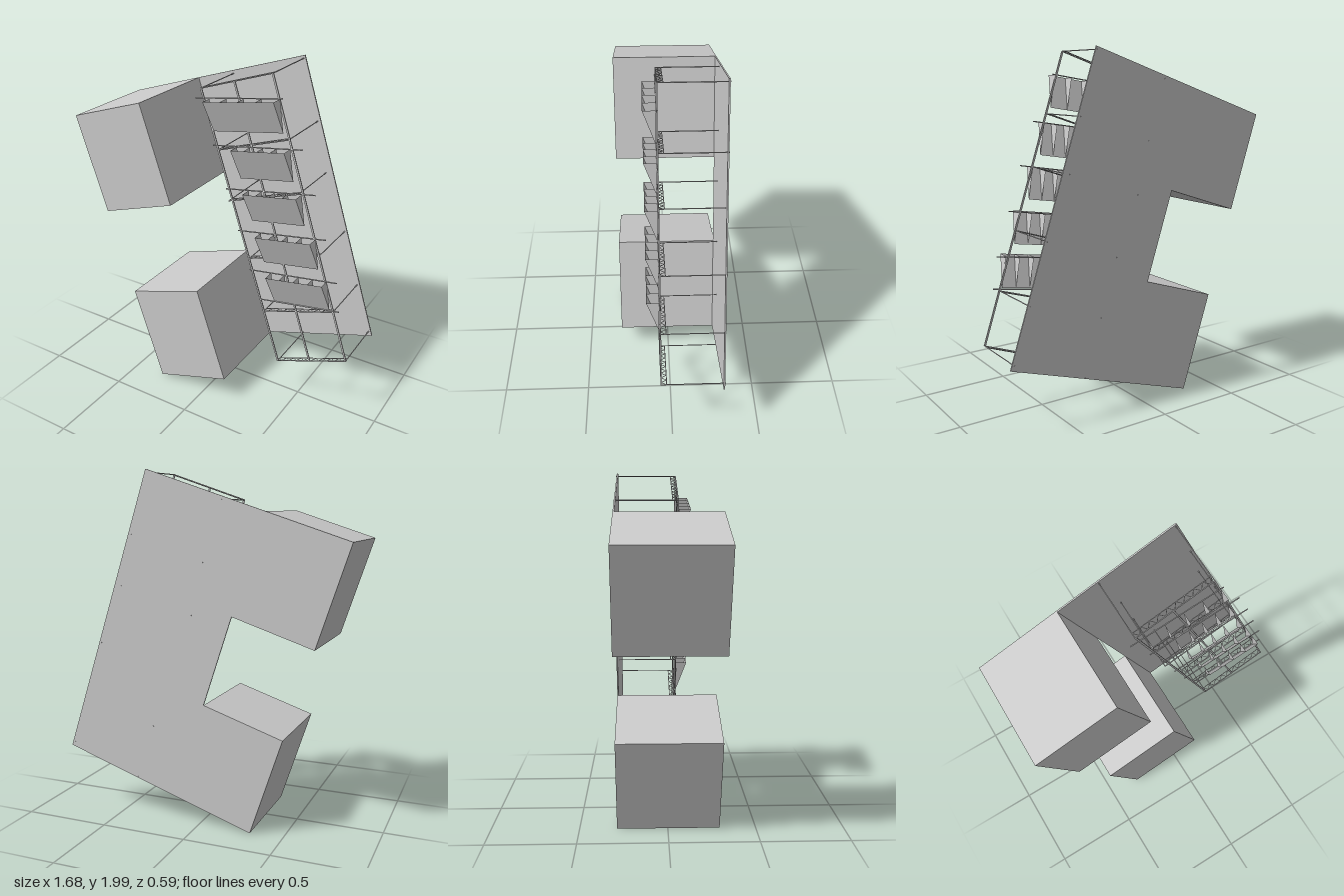
import * as THREE from 'three';

const mat = new THREE.MeshStandardMaterial({ color: 0xcccccc, flatShading: true });
const thin = new THREE.MeshStandardMaterial({ color: 0xcccccc, flatShading: true, side: THREE.DoubleSide });

const TILT = THREE.MathUtils.degToRad(18.1);
const FRONT = 0.062, INNER = 0.032, BACK = -0.292; // depths of the scaffold

function add(parent, name, geo, material = mat) {
  const mesh = new THREE.Mesh(geo, material);
  mesh.name = name;
  parent.add(mesh);
  return mesh;
}

// Thin round bar between two points
function bar(parent, name, a, b, r = 0.003) {
  const p = new THREE.Vector3(...a), q = new THREE.Vector3(...b);
  const mesh = add(parent, name, new THREE.CylinderGeometry(r, r, p.distanceTo(q), 6));
  mesh.position.copy(p).lerp(q, 0.5);
  mesh.quaternion.setFromUnitVectors(new THREE.Vector3(0, 1, 0), q.sub(p).normalize());
  return mesh;
}

// Flat zigzag truss running across the facade
function truss(u0, v0, u1, v1) {
  const g = new THREE.Group();
  g.name = 'truss';
  const at = (t, z) => [u0 + (u1 - u0) * t, v0 + (v1 - v0) * t, z];
  bar(g, 'frontChord', at(0, FRONT), at(1, FRONT), 0.0035);
  bar(g, 'rearChord', at(0, INNER), at(1, INNER), 0.0025);
  const n = 18;
  for (let i = 0; i < n; i++) {
    const z0 = i % 2 ? FRONT : INNER, z1 = i % 2 ? INNER : FRONT;
    bar(g, 'trussWeb', at(i / n, z0), at((i + 1) / n, z1), 0.0018);
  }
  // Tie rods back through the wall
  bar(g, 'tieRod', at(0, FRONT), at(0, BACK));
  bar(g, 'tieRod', at(1, FRONT), at(1, BACK));
  return g;
}

// Open-topped hanging trough: sloping front sheet and triangular dividers
function planter(width, height) {
  const g = new THREE.Group();
  g.name = 'planter';
  const zTop = 0.135, zBottom = 0.07, zWall = 0.066;
  const sheet = new THREE.BufferGeometry();
  sheet.setAttribute('position', new THREE.Float32BufferAttribute([
    0, -height, zBottom, width, -height, zBottom, width, 0, zTop, 0, 0, zTop], 3));
  sheet.setIndex([0, 1, 2, 0, 2, 3]);
  sheet.computeVertexNormals();
  add(g, 'planterFront', sheet, thin);
  for (let i = 0; i <= 4; i++) {
    const x = width * i / 4;
    const fin = new THREE.BufferGeometry();
    fin.setAttribute('position', new THREE.Float32BufferAttribute([
      x, 0, zWall, x, 0, zTop, x, -height, zBottom], 3));
    fin.computeVertexNormals();
    add(g, 'planterDivider', fin, thin);
  }
  return g;
}

export function createModel() {
  const model = new THREE.Group();
  model.name = 'facadeModel';

  const building = new THREE.Group();
  building.name = 'building';
  building.rotation.z = TILT;
  building.position.set(-0.31, 0.002, 0);
  model.add(building);

  // C-shaped back wall
  const outline = [[0, 0], [1.205, 0], [1.205, 1.705], [0, 1.705],
    [0, 1.118], [0.485, 1.118], [0.485, 0.587], [0, 0.587]];
  const wall = add(building, 'backWall', new THREE.ExtrudeGeometry(
    new THREE.Shape(outline.map(p => new THREE.Vector2(...p))), { depth: 0.008, bevelEnabled: false }));
  wall.position.z = -0.288;

  // Two blocks forming the arms
  for (const [name, v] of [['lowerBlock', 0], ['upperBlock', 1.118]]) {
    add(building, name, new THREE.BoxGeometry(0.485, 0.587, 0.575))
      .position.set(0.2425, v + 0.2935, 0.0075);
  }

  // Scaffold posts
  for (const [u, v] of [[0.735, 0.006], [0.955, 0.02], [1.192, 0.03]]) {
    add(building, 'post', new THREE.BoxGeometry(0.01, 1.688 - v, 0.007))
      .position.set(u, (1.688 + v) / 2, FRONT);
  }

  // Trusses at each storey
  for (const t of [[0.735, 0.006, 1.191, 0.03], [0.735, 0.342, 1.19, 0.342],
    [0.738, 0.683, 1.191, 0.683], [0.708, 1.04, 1.163, 1.043],
    [0.732, 1.338, 1.187, 1.341], [0.732, 1.687, 1.194, 1.69]]) {
    building.add(truss(...t));
  }

  // Planters, less tilted than the building
  for (const [x, y, w] of [[-0.08, 1.785, 0.43], [0.093, 1.546, 0.325],
    [0.17, 1.307, 0.325], [0.252, 1.066, 0.338], [0.325, 0.83, 0.348]]) {
    const p = planter(w, 0.178);
    p.position.set(x, y, 0);
    p.rotation.z = 0.16;
    model.add(p);
  }

  // Cross rods carrying the planters
  for (const [x0, y0, x1, y1] of [[-0.17, 1.775, 0.36, 1.857], [-0.06, 1.525, 0.484, 1.607],
    [0.025, 1.283, 0.57, 1.373], [0.105, 1.042, 0.645, 1.13],
    [0.183, 0.808, 0.725, 0.888], [0.262, 0.632, 0.752, 0.712]]) {
    bar(model, 'crossRod', [x0, y0, 0.065], [x1, y1, 0.065], 0.0035);
  }

  return model;
}
